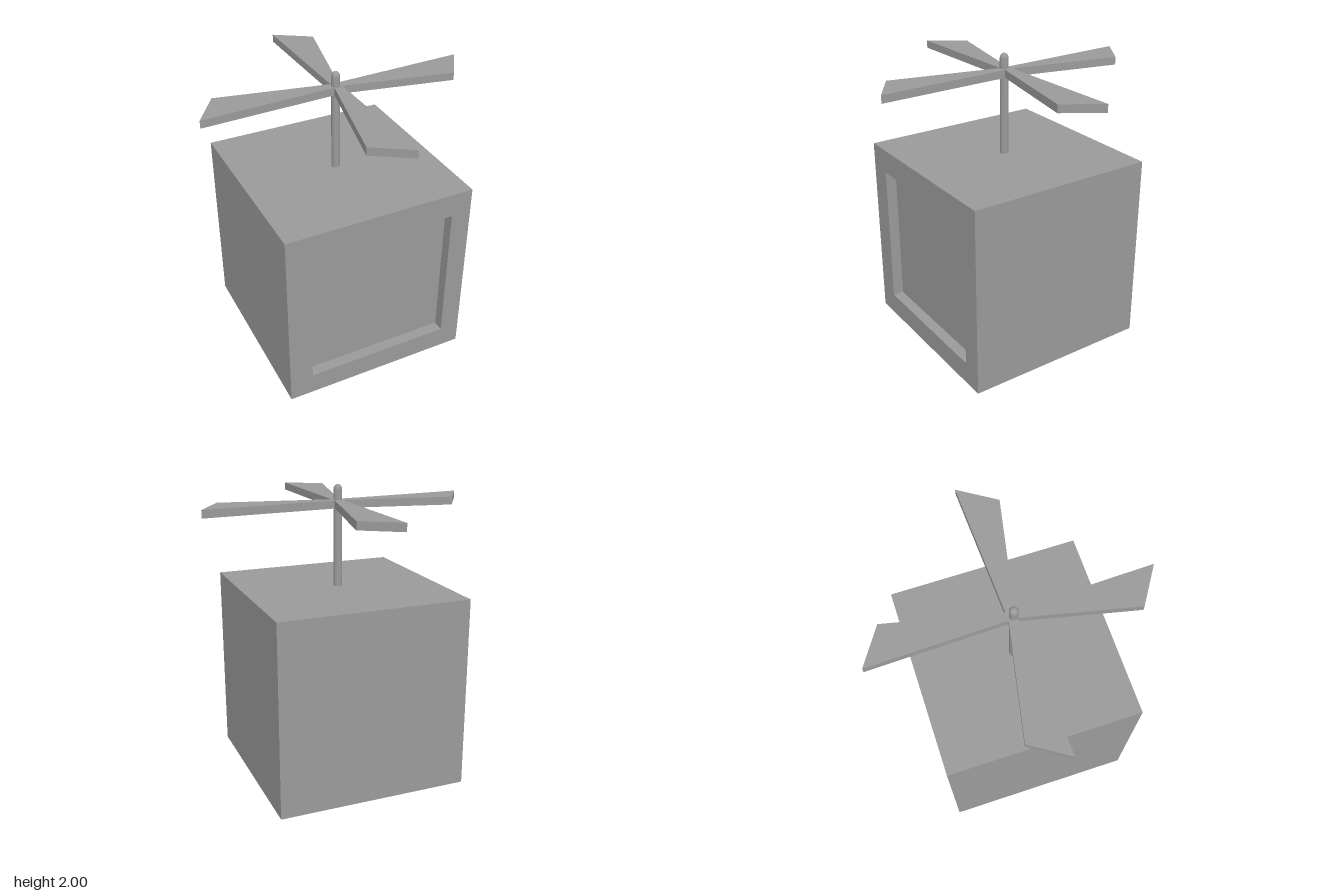
import * as THREE from 'three';

const CX = -0.01, CZ = 0.01;           // axis of the box and pole
const SIZE = 1.311, HALF = SIZE / 2;   // cube
const RECESS = 0.075;                  // depth of the front panel
const material = new THREE.MeshStandardMaterial({ color: 0x9a9a9a });

function addMesh(parent, name, geometry, x = 0, y = 0, z = 0) {
  const mesh = new THREE.Mesh(geometry, material);
  mesh.name = name;
  mesh.position.set(x, y, z);
  parent.add(mesh);
}

const toPoints = (list) => list.map(([x, y]) => new THREE.Vector2(x, y));
const rectangle = (x0, y0, x1, y1) => toPoints([[x0, y0], [x1, y0], [x1, y1], [x0, y1]]);

// Square block with a sunken panel in its front
function createBox() {
  const box = new THREE.Group();
  box.name = 'box';
  const depth = SIZE - RECESS;
  addMesh(box, 'body', new THREE.BoxGeometry(SIZE, SIZE, depth), CX, HALF, CZ - RECESS / 2);

  const frame = new THREE.Shape(rectangle(-HALF, 0, HALF, SIZE));
  frame.holes.push(new THREE.Path(rectangle(-0.495, 0.154, 0.515, 1.146)));
  const geometry = new THREE.ExtrudeGeometry(frame, { depth: RECESS, bevelEnabled: false });
  addMesh(box, 'panelFrame', geometry, CX, 0, CZ + HALF - RECESS);
  return box;
}

// Four flaring blades joined into one flat cross
function createRotor() {
  // One half of the outline in (x, -z): the right and the rear blade
  const half = [
    [0.028, -0.028], [0.768, -0.176], [0.925, 0.066],
    [0.028, 0.03], [0.194, 0.768], [-0.05, 0.925],
  ];
  const outline = [...half, ...half.map(([x, y]) => [-x, -y])];
  const geometry = new THREE.ExtrudeGeometry(new THREE.Shape(toPoints(outline)), {
    depth: 0.053, bevelEnabled: false,
  });
  geometry.rotateX(-Math.PI / 2);
  return geometry;
}

// Slim pole with a domed tip
function createPole() {
  const radius = 0.029, dome = 0.036, top = 2;
  const profile = [[radius, SIZE - 0.02], [radius, top - dome]];
  for (let i = 1; i <= 6; i++) {
    const a = (i / 6) * Math.PI / 2;
    profile.push([radius * Math.max(0, Math.cos(a)), top - dome + dome * Math.sin(a)]);
  }
  return new THREE.LatheGeometry(toPoints(profile), 24);
}

export function createModel() {
  const model = new THREE.Group();
  model.name = 'boxWithRotor';
  model.add(createBox());
  addMesh(model, 'pole', createPole(), CX, 0, CZ);
  addMesh(model, 'rotorBlades', createRotor(), 0, 1.845, 0);
  return model;
}
